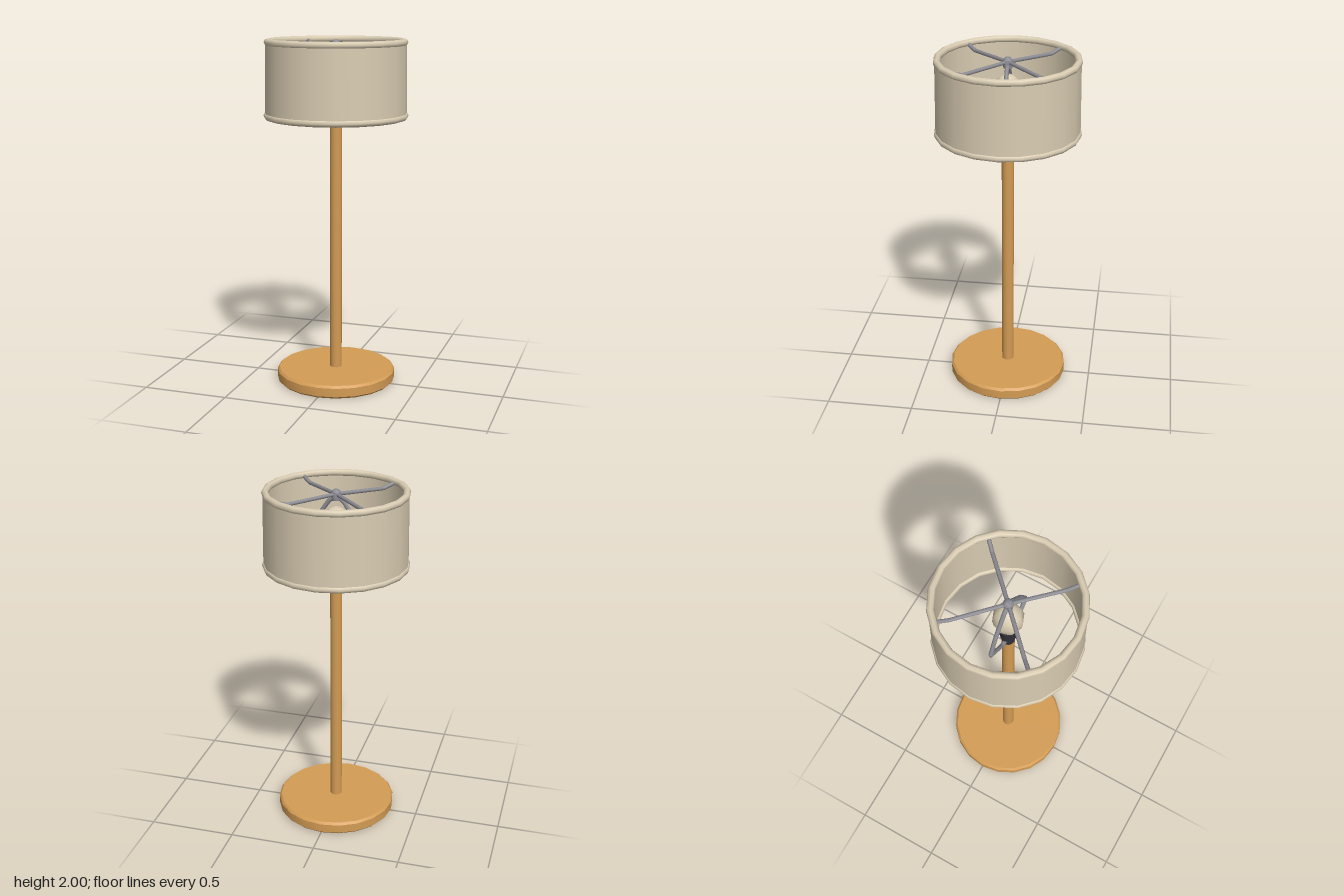
import * as THREE from 'three';
import { toCreasedNormals } from 'three/addons/utils/BufferGeometryUtils.js';

const SIDES = 20;

export function createModel() {
  const model = new THREE.Group();
  model.name = 'tableLamp';

  const material = (name, color, side = THREE.FrontSide) => {
    const m = new THREE.MeshStandardMaterial({ color, side });
    m.name = name;
    return m;
  };
  const wood = material('wood', 0xd49c54);
  const fabric = material('creamFabric', 0xd9ccb2, THREE.DoubleSide);
  const metal = material('greyMetal', 0x8a8a91);
  const dark = material('darkSocket', 0x303036);

  const add = (name, geometry, mat, y = 0) => {
    const mesh = new THREE.Mesh(geometry, mat);
    mesh.name = name;
    mesh.position.y = y;
    model.add(mesh);
    return mesh;
  };
  const lathe = (points, sides, crease = 0.6) => toCreasedNormals(
    new THREE.LatheGeometry(points.map(([r, y]) => new THREE.Vector2(r, y)), sides), crease);
  const cylinder = (top, bottom, y0, y1, sides, open = false) =>
    new THREE.CylinderGeometry(top, bottom, y1 - y0, sides, 1, open).translate(0, (y0 + y1) / 2, 0);

  // Bent wire: straight runs through a few points
  const wire = (points, radius) => {
    const path = new THREE.CurvePath();
    const v = points.map(([x, y]) => new THREE.Vector3(x, y, 0));
    for (let i = 1; i < v.length; i++) path.add(new THREE.LineCurve3(v[i - 1], v[i]));
    return new THREE.TubeGeometry(path, 40, radius, 8);
  };

  // Round wooden foot with bevelled edges, and the pole
  add('base', lathe([[0, 0], [0.335, 0], [0.347, 0.012], [0.347, 0.062], [0.335, 0.075], [0, 0.075]], SIDES), wood);
  add('pole', cylinder(0.035, 0.035, 0.07, 1.51, 12), wood);

  // Socket and bulb
  add('socketCollar', cylinder(0.036, 0.036, 1.51, 1.575, 12), dark);
  add('socket', cylinder(0.046, 0.046, 1.575, 1.655, 12), dark);
  add('bulb', lathe([[0, 1.64], [0.036, 1.64], [0.045, 1.68], [0.078, 1.75], [0.085, 1.80],
    [0.07, 1.855], [0.038, 1.89], [0, 1.9]], 8, 1.2), fabric);

  // Drum shade: outer and inner walls with rolled rims
  add('shadeOuterWall', cylinder(0.397, 0.403, 1.57, 1.98, SIDES, true), fabric);
  add('shadeInnerWall', cylinder(0.378, 0.384, 1.57, 1.98, SIDES, true), fabric);
  for (const [name, radius, y] of [['shadeTopRim', 0.384, 1.98], ['shadeBottomRim', 0.391, 1.57]]) {
    add(name, new THREE.TorusGeometry(radius, 0.02, 8, SIDES).rotateX(Math.PI / 2), fabric, y);
  }

  // Wire harp on both sides of the bulb
  for (const s of [1, -1]) {
    add(s > 0 ? 'harpLeft' : 'harpRight', wire([[0.025 * s, 1.55], [0.07 * s, 1.56], [0.185 * s, 1.68],
      [0.13 * s, 1.8], [0.04 * s, 1.93], [0, 1.96]], 0.012), metal);
  }

  // Hub and four spider arms that hold the shade
  add('hub', lathe([[0, 1.935], [0.025, 1.935], [0.027, 1.98], [0.016, 1.993], [0, 1.997]], 10, 0.9), metal);
  for (let i = 0; i < 4; i++) {
    const arm = add('shadeArm', wire([[0, 1.968], [0.3, 1.955], [0.375, 1.978]], 0.011), metal);
    arm.rotation.y = Math.PI / 4 + i * Math.PI / 2;
  }

  return model;
}
